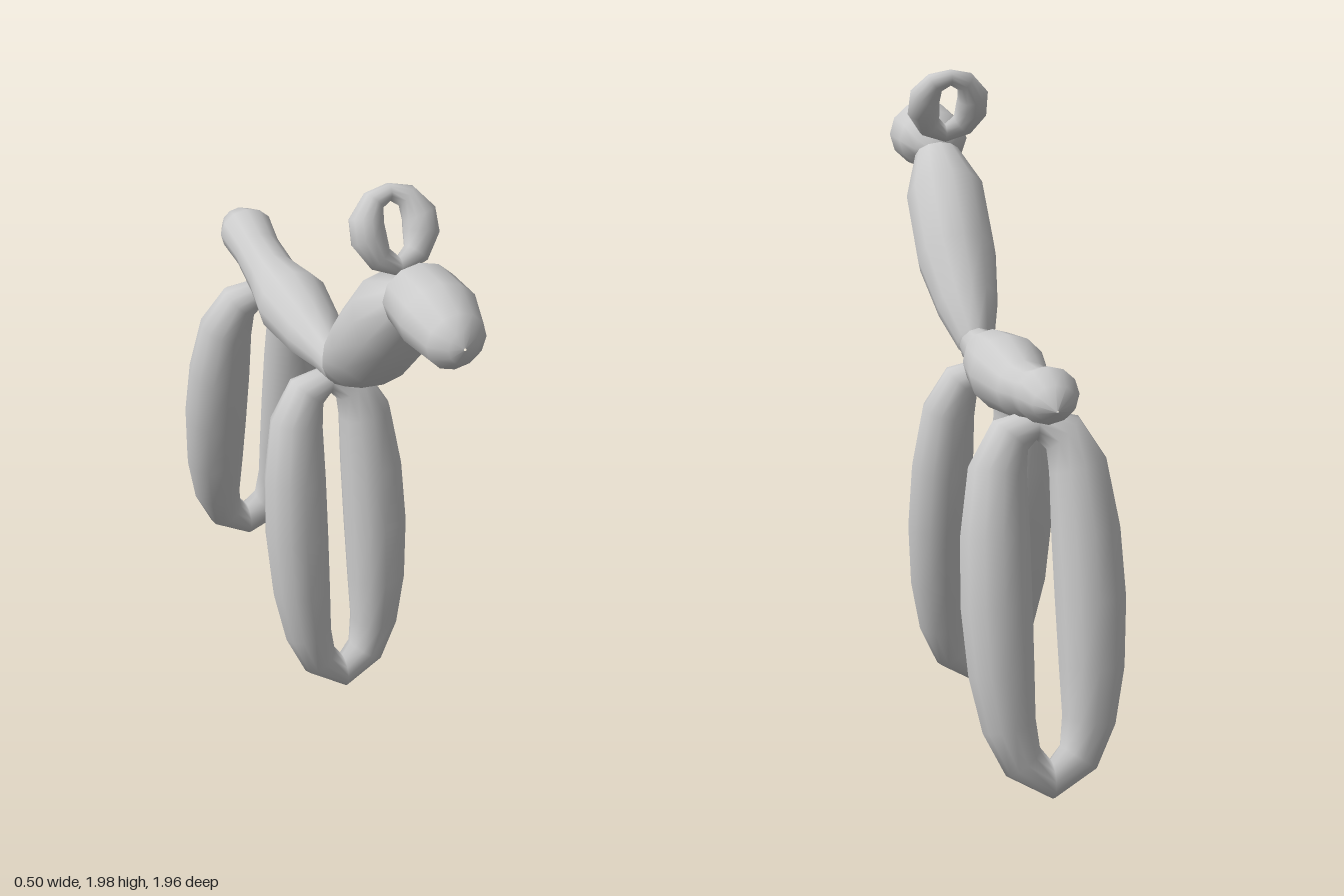
import * as THREE from 'three';

const SIDES = 12;
const material = new THREE.MeshStandardMaterial({ color: 0xcccccc });

// Sweeps elliptical rings along a path in the local XY plane.
// Each point is [x, y, radius in plane, radius along local z].
function sweep(points, closed) {
  const n = points.length, positions = [], index = [];
  points.forEach(([x, y, r, rz = r], i) => {
    const a = points[closed ? (i + n - 1) % n : Math.max(i - 1, 0)];
    const b = points[closed ? (i + 1) % n : Math.min(i + 1, n - 1)];
    const t = new THREE.Vector2(b[0] - a[0], b[1] - a[1]).normalize();
    for (let j = 0; j < SIDES; j++) {
      const phi = (j / SIDES) * Math.PI * 2;
      const c = Math.cos(phi) * r;
      positions.push(x - t.y * c, y + t.x * c, Math.sin(phi) * rz);
    }
  });
  for (let i = 0; i < (closed ? n : n - 1); i++) {
    for (let j = 0; j < SIDES; j++) {
      const k = (j + 1) % SIDES, m = (i + 1) % n;
      const p = i * SIDES + j, q = i * SIDES + k, s = m * SIDES + k, u = m * SIDES + j;
      index.push(p, q, s, p, s, u);
    }
  }
  const geometry = new THREE.BufferGeometry();
  geometry.setAttribute('position', new THREE.Float32BufferAttribute(positions, 3));
  geometry.setIndex(index);
  geometry.computeVertexNormals();
  return geometry;
}

// Balloon segment in the side plane; points are [z, y, radius, half width]
function segment(name, points) {
  const mesh = new THREE.Mesh(sweep(points, false), material);
  mesh.name = name;
  mesh.rotation.y = -Math.PI / 2;
  mesh.position.x = 0.015;
  return mesh;
}

// Mirrored balloon loop leaning from a bottom [z, y] to a top [z, y];
// half lists [x, height, radius] from the bottom centre to the top centre.
function loop(name, half, bottom, top, widen = 1) {
  const mirrored = half.slice(1, -1).reverse().map(([x, y, r]) => [-x, y, r]);
  const points = [...half, ...mirrored].map(([x, y, r]) => [x * widen, y, r * widen]);
  const mesh = new THREE.Mesh(sweep(points, true), material);
  mesh.name = name;
  mesh.position.set(0, bottom[1], bottom[0]);
  mesh.rotation.x = Math.atan2(top[0] - bottom[0], top[1] - bottom[1]);
  return mesh;
}

export function createModel() {
  const group = new THREE.Group();
  group.name = 'balloonDog';

  group.add(segment('head', [
    [0.98, 1.72, 0.004], [0.97, 1.72, 0.05, 0.045], [0.92, 1.715, 0.09],
    [0.8, 1.73, 0.11, 0.12], [0.66, 1.73, 0.1, 0.115], [0.6, 1.71, 0.06, 0.075], [0.55, 1.69, 0.004],
  ]));

  group.add(segment('neck', [
    [0.63, 1.72, 0.004], [0.595, 1.69, 0.065, 0.075], [0.47, 1.575, 0.138, 0.13],
    [0.3, 1.4, 0.135, 0.13], [0.15, 1.275, 0.102, 0.1], [0.03, 1.185, 0.068, 0.06], [-0.03, 1.16, 0.004],
  ]));

  // Body, pinched above the back legs and ending in a rounded tail
  group.add(segment('bodyAndTail', [
    [0.05, 1.17, 0.004], [0.02, 1.175, 0.06, 0.055], [-0.07, 1.17, 0.068, 0.06],
    [-0.2, 1.178, 0.098, 0.095], [-0.4, 1.188, 0.118, 0.12], [-0.6, 1.188, 0.088, 0.085],
    [-0.75, 1.215, 0.074, 0.08], [-0.87, 1.24, 0.084, 0.092], [-0.94, 1.235, 0.057, 0.065],
    [-0.975, 1.22, 0.004],
  ]));

  const legHalf = [
    [0, 0, 0.055], [0.08, 0.06, 0.062], [0.115, 0.17, 0.078], [0.13, 0.33, 0.095],
    [0.135, 0.53, 0.103], [0.13, 0.73, 0.1], [0.115, 0.92, 0.085], [0.075, 1.02, 0.065],
    [0, 1.05, 0.045],
  ];
  group.add(loop('frontLegs', legHalf, [0.1, 0.06], [-0.035, 1.1]));
  group.add(loop('backLegs', legHalf, [-0.885, 0.075], [-0.675, 1.11], 1.05));

  const earHalf = [
    [0, 0, 0.03], [0.055, 0.03, 0.04], [0.08, 0.09, 0.054], [0.08, 0.14, 0.052],
    [0.05, 0.195, 0.035], [0, 0.213, 0.026],
  ];
  group.add(loop('ears', earHalf, [0.54, 1.77], [0.45, 1.97]));

  return group;
}
